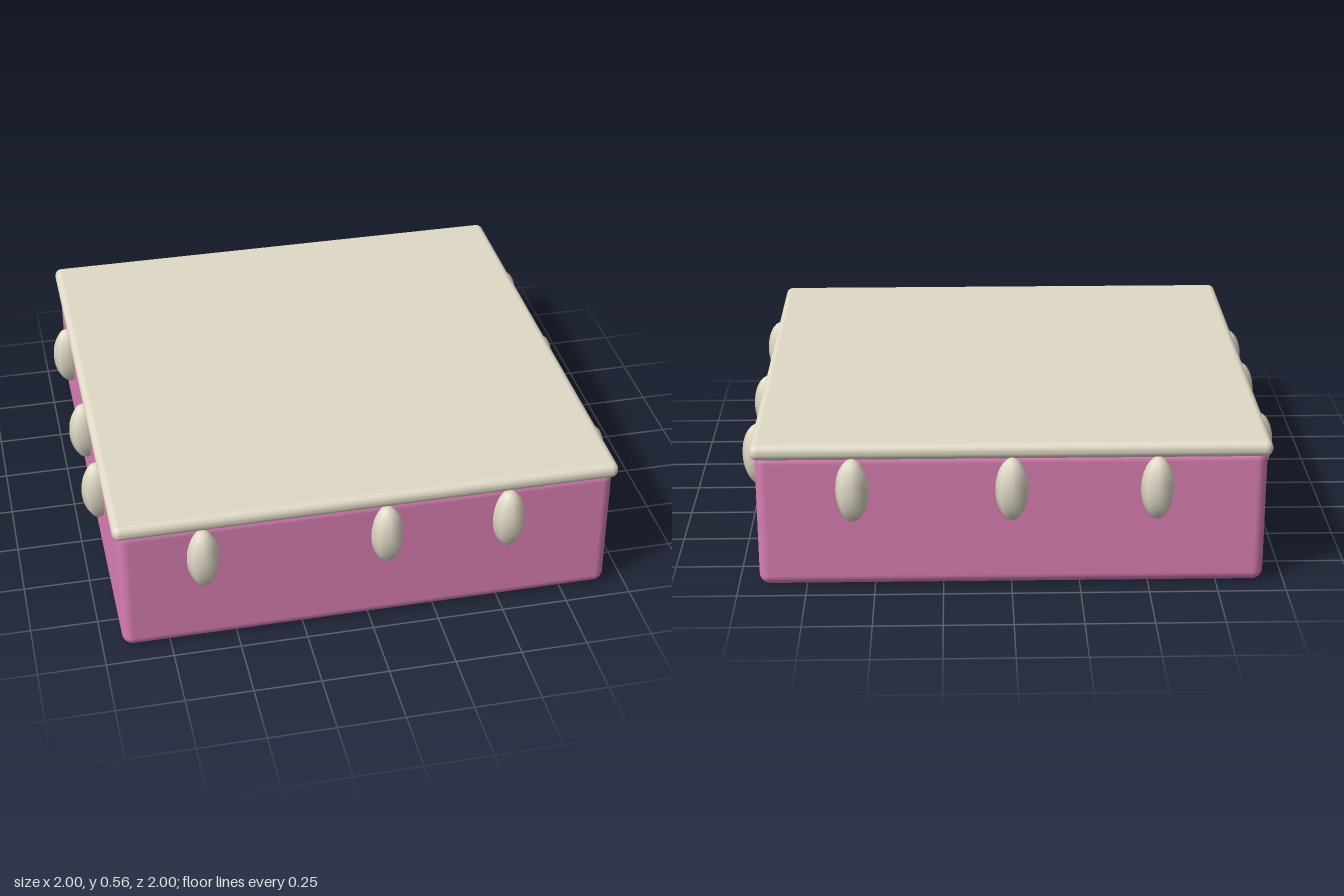
import * as THREE from 'three';
import { RoundedBoxGeometry } from 'three/addons/geometries/RoundedBoxGeometry.js';

function material(name, color) {
  const m = new THREE.MeshStandardMaterial({ color });
  m.name = name;
  return m;
}

export function createModel() {
  const group = new THREE.Group();
  group.name = 'frostedSlab';
  const pink = material('pink', 0xd97fb3);
  const cream = material('cream', 0xe0d9c6);

  const add = (name, geometry, mat, x, y, z) => {
    const mesh = new THREE.Mesh(geometry, mat);
    mesh.name = name;
    mesh.position.set(x, y, z);
    group.add(mesh);
  };

  // Soft-edged body and the thin icing layer overhanging it
  add('body', new RoundedBoxGeometry(1.85, 0.52, 1.85, 4, 0.04), pink, 0, 0.26, 0);
  add('icing', new RoundedBoxGeometry(1.88, 0.06, 1.88, 4, 0.028), cream, 0, 0.527, 0);

  // Elongated icing drips, three on each side
  const drip = new THREE.SphereGeometry(0.06, 8, 16);
  drip.scale(1, 2, 1);
  const edge = 0.94, height = 0.387;
  const sides = {
    front: [-0.62, 0.06, 0.52],
    back: [-0.525, 0, 0.575],
    left: [0.6, -0.065, -0.585],
    right: [-0.51, 0.05, 0.45],
  };
  for (const [side, offsets] of Object.entries(sides)) {
    const sign = side === 'front' || side === 'left' ? 1 : -1;
    const alongX = side === 'front' || side === 'back';
    offsets.forEach((t, i) => {
      const [x, z] = alongX ? [t, sign * edge] : [sign * edge, t];
      add(`${side}Drip${i + 1}`, drip, cream, x, height, z);
    });
  }
  return group;
}
